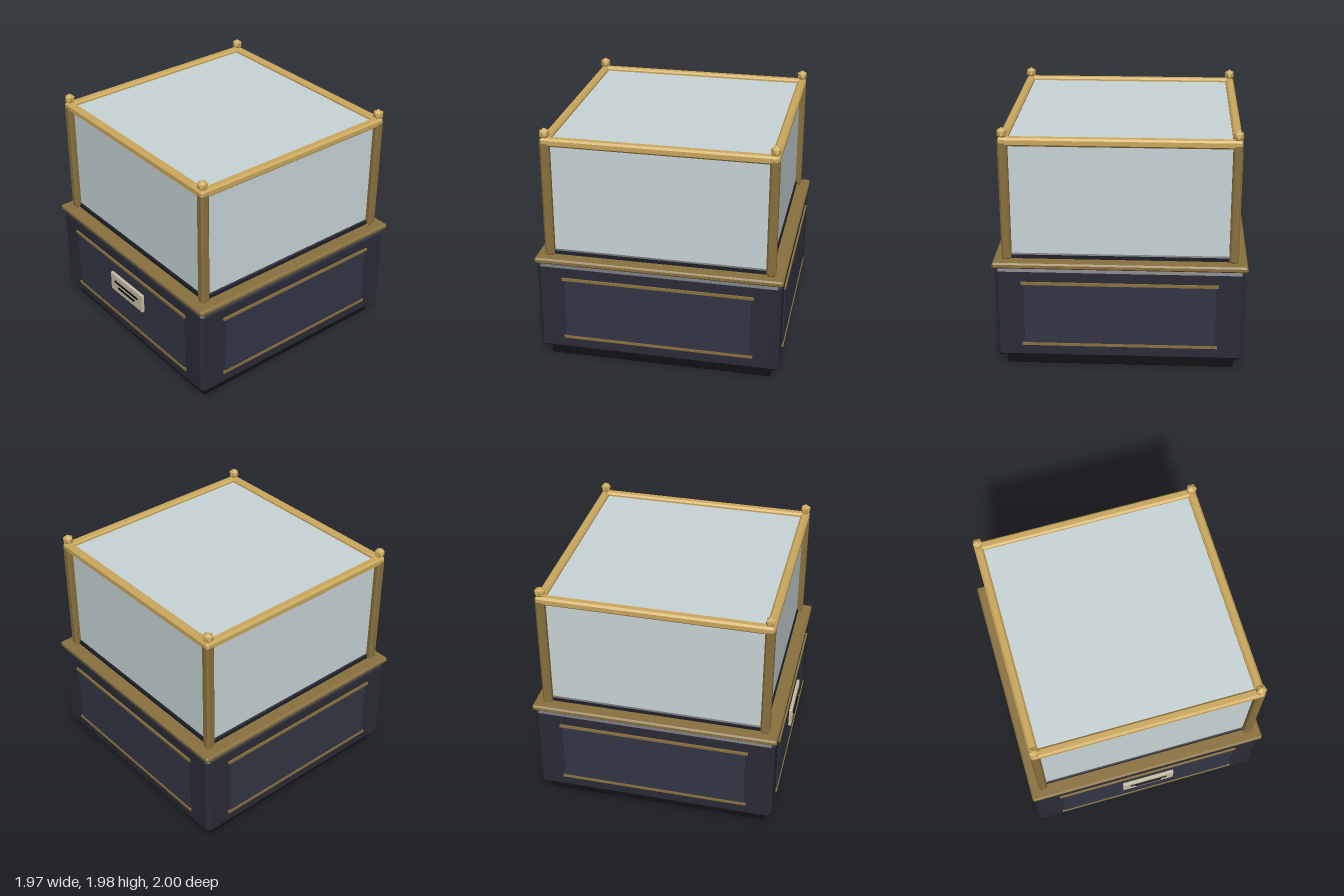
import * as THREE from 'three';
import { ConvexGeometry } from 'three/addons/geometries/ConvexGeometry.js';

const paint = (color) => new THREE.MeshStandardMaterial({ color, flatShading: true });

// Box with chamfered edges, centred on its origin
function chamferBox(w, h, d, c) {
  const points = [];
  for (const sx of [-1, 1]) for (const sy of [-1, 1]) for (const sz of [-1, 1]) {
    const [x, y, z] = [w / 2, h / 2, d / 2];
    points.push(
      new THREE.Vector3(sx * x, sy * (y - c), sz * (z - c)),
      new THREE.Vector3(sx * (x - c), sy * y, sz * (z - c)),
      new THREE.Vector3(sx * (x - c), sy * (y - c), sz * z));
  }
  return new ConvexGeometry(points);
}

export function createModel() {
  const model = new THREE.Group();
  model.name = 'displayCase';
  const inner = new THREE.Group();
  inner.name = 'caseParts';
  inner.position.z = -0.012; // the plaque projects at the front only
  model.add(inner);

  const brass = paint(0xcba85c), bronze = paint(0x8a713e), navy = paint(0x2a2b36);
  const panelBlue = paint(0x333645), black = paint(0x111114), deckDark = paint(0x1e2029);
  const glass = paint(0xc9d5d7), ivory = paint(0xc8bfa6);

  function add(name, geometry, material, x, y, z, parent = inner) {
    const mesh = new THREE.Mesh(geometry, material);
    mesh.name = name;
    mesh.position.set(x, y, z);
    parent.add(mesh);
    return mesh;
  }

  // Stacked base: plinth, cabinet, rim and deck
  add('plinth', chamferBox(1.81, 0.1, 1.81, 0.006), black, 0, 0.05, 0);
  add('cabinet', chamferBox(1.946, 0.768, 1.946, 0.028), navy, 0, 0.477, 0);
  add('rim', chamferBox(1.974, 0.046, 1.974, 0.012), bronze, 0, 0.885, 0);
  add('deck', chamferBox(1.76, 0.06, 1.76, 0.012), deckDark, 0, 0.922, 0);

  // Four equal sides: raised panel, two trims, pane and top rail
  for (let i = 0; i < 4; i++) {
    const side = new THREE.Group();
    side.name = 'side' + (i + 1);
    side.rotation.y = i * Math.PI / 2;
    inner.add(side);
    add('panel', new THREE.BoxGeometry(1.494, 0.52, 0.02), panelBlue, 0, 0.48, 0.97, side);
    for (const y of [0.215, 0.74]) {
      add('panelTrim', new THREE.BoxGeometry(1.534, 0.022, 0.024), bronze, 0, y, 0.975, side);
    }
    add('glassPane', new THREE.BoxGeometry(1.72, 0.92, 0.012), glass, 0, 1.395, 0.864, side);
    add('topRail', chamferBox(1.83, 0.066, 0.07, 0.015), brass, 0, 1.864, 0.88, side);
  }
  add('glassTop', new THREE.BoxGeometry(1.72, 0.012, 1.72), glass, 0, 1.862, 0);

  // Corner posts with faceted finials, one vertex pointing up
  const postGeometry = chamferBox(0.074, 0.965, 0.074, 0.015);
  const finialGeometry = new THREE.IcosahedronGeometry(0.045, 0);
  finialGeometry.rotateX(-Math.atan((1 + Math.sqrt(5)) / 2));
  for (const x of [-0.88, 0.88]) for (const z of [-0.88, 0.88]) {
    add('cornerPost', postGeometry, bronze, x, 1.389, z);
    add('finial', finialGeometry, brass, x, 1.93, z);
  }

  // Front plaque with two engraved bars
  add('plaque', chamferBox(0.444, 0.166, 0.026, 0.004), ivory, 0, 0.547, 0.992);
  add('plaqueBarUpper', new THREE.BoxGeometry(0.32, 0.016, 0.012), black, 0, 0.568, 1.006);
  add('plaqueBarLower', new THREE.BoxGeometry(0.226, 0.016, 0.012), black, 0, 0.523, 1.006);

  return model;
}
